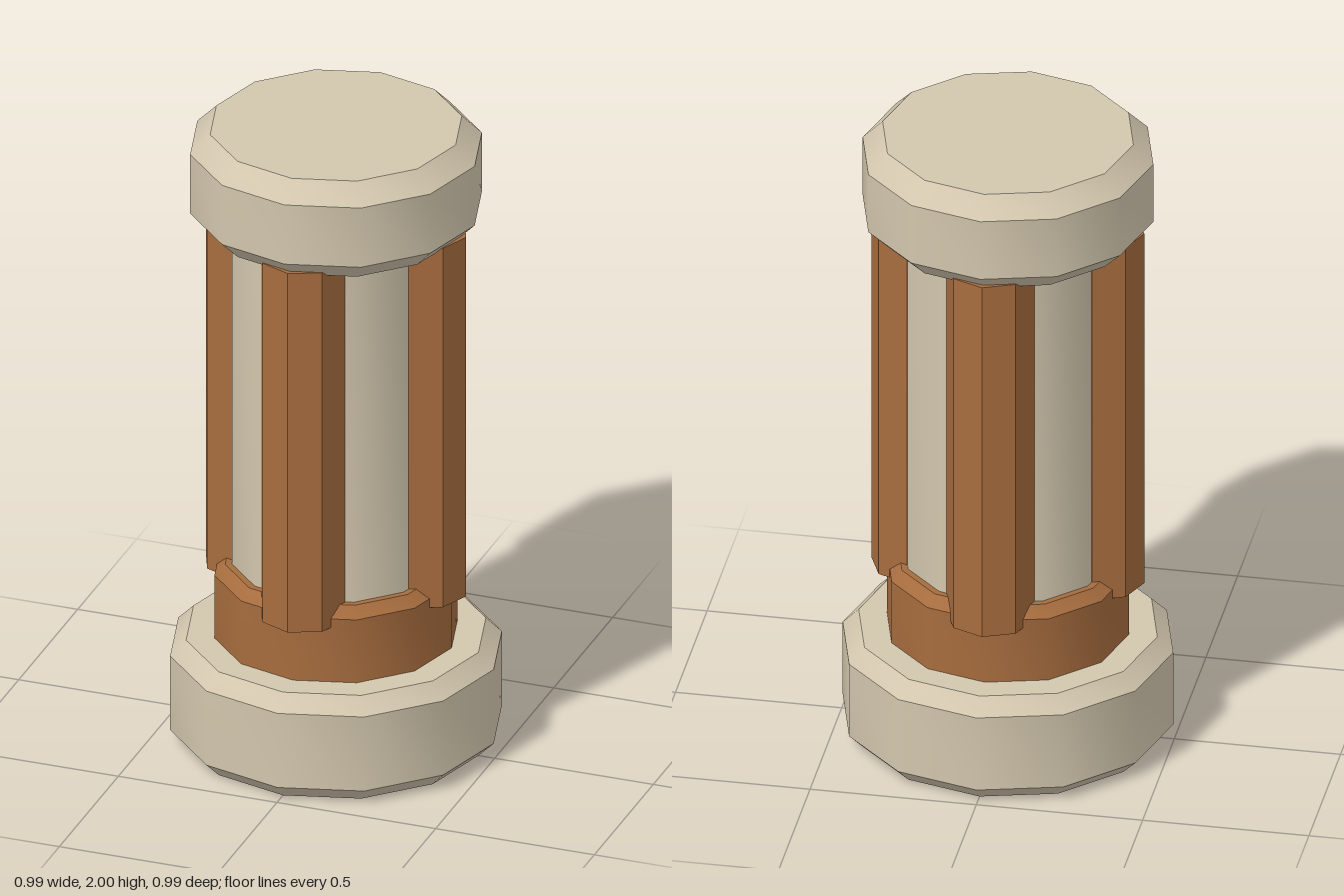
import * as THREE from 'three';
import { toCreasedNormals } from 'three/addons/utils/BufferGeometryUtils.js';

const CREASE = THREE.MathUtils.degToRad(35);

export function createModel() {
  const model = new THREE.Group();
  model.name = 'ribbedCanister';

  const cream = new THREE.MeshStandardMaterial({ color: 0xd2c6ad });
  cream.name = 'cream';
  const copper = new THREE.MeshStandardMaterial({ color: 0xa66c3e });
  copper.name = 'copper brown';

  // Twelve-sided solid turned from [radius, y] points, listed bottom to top
  function turned(name, material, profile) {
    const points = profile.map(([r, y]) => new THREE.Vector2(r, y));
    const geometry = toCreasedNormals(new THREE.LatheGeometry(points, 12), CREASE);
    const mesh = new THREE.Mesh(geometry, material);
    mesh.name = name;
    model.add(mesh);
  }

  // Drum with chamfered rims
  const drum = (r, y0, y1, c) => [
    [0, y0], [r - c, y0], [r, y0 + c], [r, y1 - c], [r - c, y1], [0, y1],
  ];

  turned('base', cream, drum(0.497, 0, 0.34, 0.048));
  turned('collar', copper, [[0, 0.3], [0.364, 0.3], [0.364, 0.547], [0.332, 0.58], [0, 0.58]]);
  turned('core', cream, [[0, 0.5], [0.312, 0.5], [0.312, 1.72], [0, 1.72]]);
  turned('cap', cream, drum(0.437, 1.685, 2, 0.06));

  // Four eight-sided ribs half sunk into the core
  const ribGeometry = toCreasedNormals(new THREE.CylinderGeometry(0.132, 0.132, 1.183, 8), CREASE);
  const ribs = new THREE.Group();
  ribs.name = 'ribs';
  for (let i = 0; i < 4; i++) {
    const a = (i * Math.PI) / 2;
    const rib = new THREE.Mesh(ribGeometry, copper);
    rib.name = 'rib' + (i + 1);
    rib.position.set(Math.sin(a) * 0.278, 1.11, Math.cos(a) * 0.278);
    ribs.add(rib);
  }
  model.add(ribs);

  return model;
}
